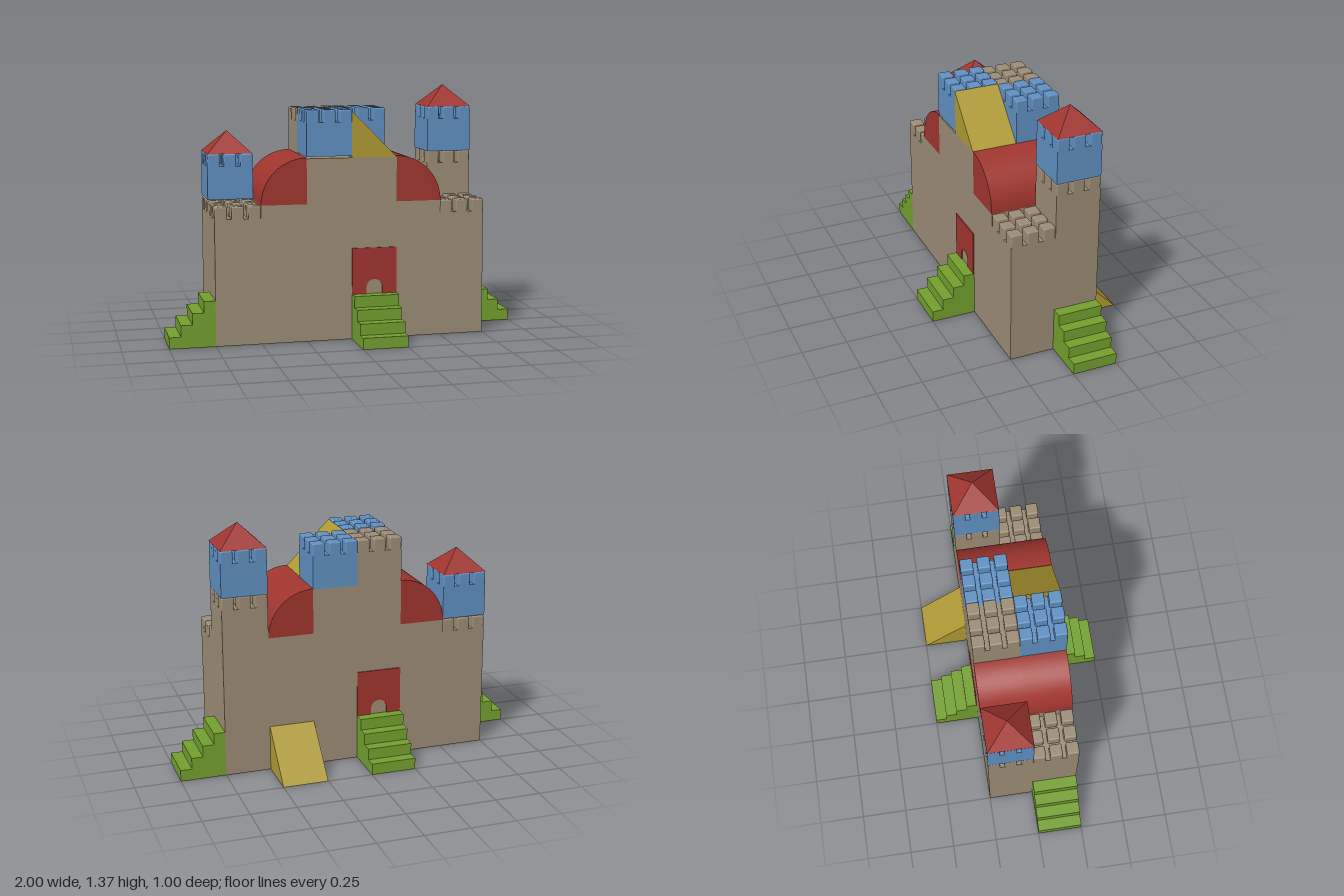
import * as THREE from 'three';
import { RoundedBoxGeometry } from 'three/addons/geometries/RoundedBoxGeometry.js';

const C = 0.25; // side of one building block
const NOTCH = 0.068; // depth of the battlement grooves

function material(name, color) {
  const m = new THREE.MeshStandardMaterial({ color });
  m.name = name;
  return m;
}

export function createModel() {
  const stone = material('stone', 0x9c8c75);
  const red = material('red', 0xa0352f);
  const blue = material('blue', 0x6090c2);
  const green = material('green', 0x73a02f);
  const yellow = material('yellow', 0xaf9a33);
  const castle = new THREE.Group();
  castle.name = 'castle';

  function add(name, geometry, mat, x = 0, y = 0, z = 0, parent = castle) {
    const mesh = new THREE.Mesh(geometry, mat);
    mesh.name = name;
    mesh.position.set(x, y, z);
    parent.add(mesh);
    return mesh;
  }

  function extrude(points, depth) {
    const shape = points instanceof THREE.Shape
      ? points
      : new THREE.Shape(points.map(([x, y]) => new THREE.Vector2(x, y)));
    return new THREE.ExtrudeGeometry(shape, { depth, bevelEnabled: false, curveSegments: 24 });
  }

  // Walls: one stepped silhouette for each row of blocks
  function wall(name, heights, z) {
    const points = [[-0.75, 0], [0.75, 0]];
    for (let i = heights.length - 1; i >= 0; i--) {
      const x = -0.75 + i * C;
      points.push([x + C, heights[i]], [x, heights[i]]);
    }
    const clean = points.filter((p, i) => {
      const a = points[i - 1], b = points[i + 1];
      return !(a && b && a[1] === p[1] && b[1] === p[1]) &&
        !(a && a[0] === p[0] && a[1] === p[1]);
    });
    add(name, extrude(clean, C), stone, 0, 0, z);
  }
  const low = 0.755 - NOTCH;
  wall('frontWall', [low, 0.755, 1, 1, 0.755, low], 0);
  wall('backWall', [low, 0.755, 1, 1, 0.755, 1 - NOTCH], -C);

  // Battlements: a grid of nine rounded merlons whose tops reach y
  const merlon = new RoundedBoxGeometry(0.068, NOTCH + 0.02, 0.068, 2, 0.008);
  function battlement(name, x, y, z, mat) {
    const group = new THREE.Group();
    group.name = name;
    for (let i = -1; i <= 1; i++) {
      for (let j = -1; j <= 1; j++) {
        add('merlon', merlon, mat, i * 0.091, -(NOTCH + 0.02) / 2, j * 0.091, group);
      }
    }
    group.position.set(x, y, z);
    castle.add(group);
  }

  // Block with a battlement on top
  function turret(name, x, y, z, mat) {
    const h = C - NOTCH;
    add(name, new THREE.BoxGeometry(C, h, C), mat, x, y + h / 2, z);
    battlement(name + 'Battlement', x, y + C, z, mat);
  }
  const F = C / 2, B = -C / 2; // centres of the front and back rows
  battlement('leftFrontBattlement', 0.625, 0.755, F, stone);
  battlement('rightFrontBattlement', -0.625, 0.755, F, stone);
  battlement('rightBackBattlement', -0.625, 0.755, B, stone);
  battlement('leftTowerBattlement', 0.625, 1, B, stone);
  turret('leftTowerTop', 0.625, 1, B, blue);
  turret('rightTowerTop', -0.625, 0.76, B, blue);
  turret('keepFrontTurret', -0.125, 1.01, F, blue);
  turret('keepBackTurret', 0.125, 1, B, blue);
  turret('keepStoneTurret', -0.125, 1, B, stone);

  // Pyramid tower roofs
  const pyramid = new THREE.ConeGeometry(C / Math.SQRT2, 0.12, 4, 1, false, Math.PI / 4).toNonIndexed();
  pyramid.computeVertexNormals();
  add('leftTowerRoof', pyramid, red, 0.625, 1.31, B);
  add('rightTowerRoof', pyramid, red, -0.625, 1.07, B);

  // Quarter-round roofs beside the keep
  const quarter = new THREE.Shape();
  quarter.moveTo(0, 0);
  quarter.lineTo(C, 0);
  quarter.absarc(0, 0, C, 0, Math.PI / 2, false);
  quarter.lineTo(0, 0);
  for (const z of [-C, 0]) {
    add('leftVaultRoof', extrude(quarter, C), red, C, 0.755, z);
    const roof = add('rightVaultRoof', extrude(quarter, C), red, -C, 0.755, z + C);
    roof.rotation.y = Math.PI;
  }

  // Sloped wedges: on the keep and as a ramp behind
  const wedge = extrude([[0, 0], [C, 0], [0, C]], C);
  add('keepWedge', wedge, yellow, 0, 1, 0);
  add('backRamp', wedge, yellow, C, 0, -C).rotation.y = Math.PI / 2;

  // Stairs of four steps, descending along local +x
  const profile = [[0, 0], [C, 0]];
  for (let i = 0; i < 4; i++) {
    const x = C - (i * C) / 4, y = ((i + 1) * C) / 4;
    profile.push([x, y], [x - C / 4, y]);
  }
  const stairs = extrude(profile, C);
  add('leftStairs', stairs, green, 0.75, 0, -C);
  add('rightStairs', stairs, green, -0.75, 0, C).rotation.y = Math.PI;
  add('frontStairs', stairs, green, 0, 0, C).rotation.y = -Math.PI / 2;
  add('backStairs', stairs, green, 0, 0, -C).rotation.y = Math.PI / 2;
  // Turned stairs extend sideways from their corner
  castle.getObjectByName('frontStairs').position.x = C;
  castle.getObjectByName('backStairs').position.x = -C;

  // Doors: thin red panels with a small arched opening at the foot
  const panel = new THREE.Shape();
  panel.moveTo(-0.125, 0);
  panel.lineTo(-0.045, 0);
  panel.lineTo(-0.045, 0.035);
  panel.absarc(0, 0.035, 0.045, Math.PI, 0, true);
  panel.lineTo(0.045, 0);
  panel.lineTo(0.125, 0);
  panel.lineTo(0.125, 0.255);
  panel.lineTo(-0.125, 0.255);
  const door = extrude(panel, 0.006);
  add('frontDoor', door, red, 0.125, 0.25, C);
  add('backDoor', door, red, -0.125, 0.25, -C).rotation.y = Math.PI;

  return castle;
}
